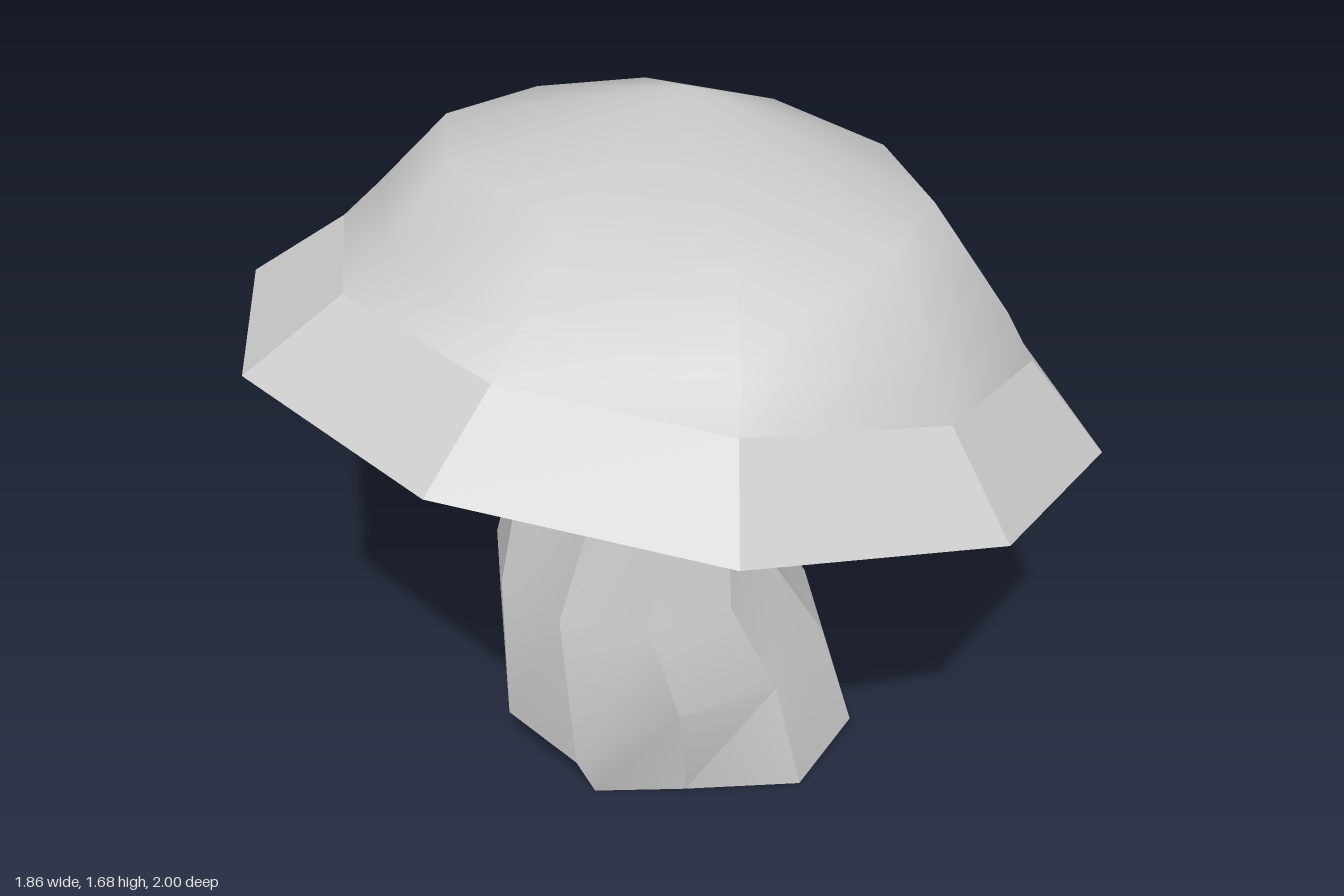
import * as THREE from 'three';
import { mergeVertices, toCreasedNormals } from 'three/addons/utils/BufferGeometryUtils.js';

const SIDES = 10;

// One closed ring of points; the rule may reshape each point.
function ring(radius, y, cx = 0, rule = (p) => p) {
  return Array.from({ length: SIDES }, (_, i) => {
    const a = (i / SIDES) * Math.PI * 2;
    return rule([cx + Math.sin(a) * radius, y, Math.cos(a) * radius], i);
  });
}

// Skin between successive rings, from bottom (or inside) to top.
function loft(rings) {
  const index = [];
  for (let r = 0; r < rings.length - 1; r++) {
    for (let i = 0; i < SIDES; i++) {
      const j = (i + 1) % SIDES;
      const a = r * SIDES + i, b = r * SIDES + j;
      index.push(a, b, b + SIDES, a, b + SIDES, a + SIDES);
    }
  }
  const geo = new THREE.BufferGeometry();
  geo.setAttribute('position', new THREE.Float32BufferAttribute(rings.flat(2), 3));
  geo.setIndex(index);
  return geo;
}

function smooth(geo) {
  const merged = mergeVertices(geo);
  merged.computeVertexNormals();
  return merged;
}

export function createModel() {
  const model = new THREE.Group();
  const grey = new THREE.MeshStandardMaterial({ color: 0xcccccc });
  const faceted = new THREE.MeshStandardMaterial({ color: 0xcccccc, flatShading: true });
  const add = (parent, name, geo, mat) => {
    const mesh = new THREE.Mesh(geo, mat);
    mesh.name = name;
    parent.add(mesh);
  };

  // Tilted cap
  const cap = new THREE.Group();
  cap.name = 'cap';
  cap.position.y = 1.02;
  cap.rotation.z = -0.213;
  model.add(cap);

  const rim = ring(1, 0);
  const lip = ring(0.855, -0.038);
  const shoulder = ring(0.8, 0.18);

  // Crown ring is pulled in and raised on the low side
  const crown = ring(0.57, 0.475, 0, ([x, y, z]) =>
    x > 0.01 ? [x * 0.73, y + x * 0.11, z] : [x * 1.07, y + x * 0.01, z]);

  add(cap, 'capDome', smooth(loft([shoulder, ring(0.725, 0.277), crown, ring(0, 0.653, -0.08)])), grey);
  add(cap, 'capRim', loft([rim, shoulder]).toNonIndexed(), faceted);
  add(cap, 'capLip', loft([lip, rim]).toNonIndexed(), faceted);
  // Underside with a hollow around the stem
  add(cap, 'capUnderside', smooth(loft([ring(0, 0.12), ring(0.4, 0.1), ring(0.55, -0.01), lip])), grey);

  // Bent stem with an irregular foot
  const foot = [
    [0.01, 0.015, 0.45], [0.275, 0.015, 0.37], [0.35, 0.022, 0.13], [0.44, 0.03, -0.14],
    [0.34, 0, -0.36], [0, 0, -0.375], [-0.165, 0, -0.385], [-0.27, 0, -0.12],
    [-0.36, 0, 0.12], [-0.2, 0.007, 0.27],
  ];
  const bulge = ring(0.405, 0.31, -0.035, ([x, y, z]) => [x, x < -0.4 ? 0.13 : y, z]);
  const waist = ring(0.335, 0.55, -0.12);
  // Neck: half of a mirrored outline, from front to back
  const half = [[-0.07, 0.25], [0.05, 0.22], [0.06, 0.18], [-0.28, 0.14], [-0.2, 0.2]];
  const order = [0, 1, 2, 2, 1, 0, 4, 3, 3, 4];
  const neck = order.map((k, i) => [half[k][0], 1.03, half[k][1] * (i > 2 && i < 8 ? -1 : 1)]);
  const top = neck.map(([x, , z]) => [x, 1.22, z]);
  const base = ring(0, 0.01, 0.03);

  add(model, 'stem', toCreasedNormals(loft([base, foot, bulge, waist, neck, top]), 0.45), grey);
  return model;
}
